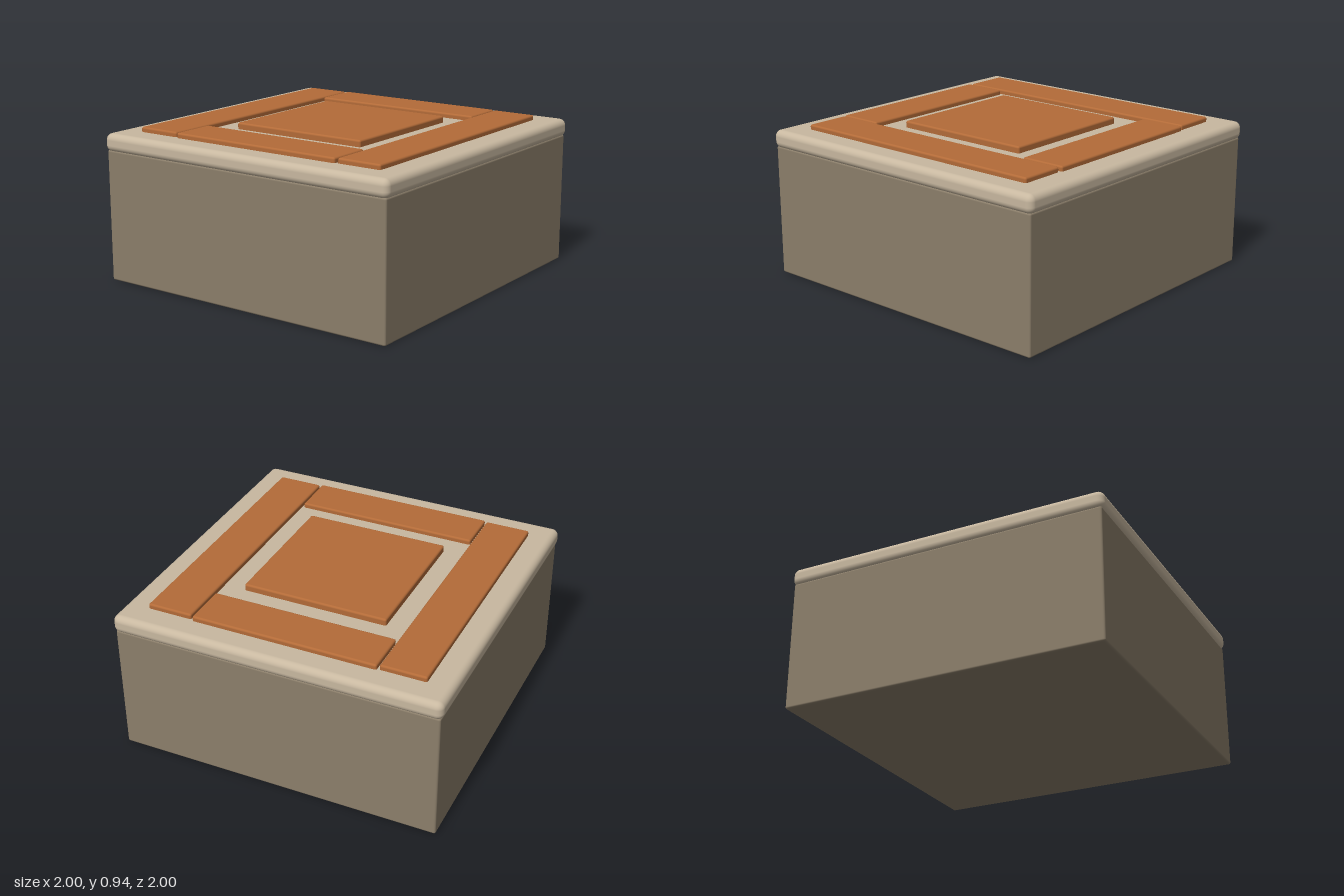
import * as THREE from 'three';
import { RoundedBoxGeometry } from 'three/addons/geometries/RoundedBoxGeometry.js';

const material = (color) => new THREE.MeshStandardMaterial({ color });

export function createModel() {
  const model = new THREE.Group();
  const stone = material(0x8b7e6a);
  const paleStone = material(0xc8b8a0);
  const clay = material(0xb36b38);

  // Rounded block given by its full size, bottom and top heights, and centre
  function block(name, mat, width, depth, bottom, top, radius, x = 0, z = 0) {
    const height = top - bottom;
    const mesh = new THREE.Mesh(new RoundedBoxGeometry(width, height, depth, 4, radius), mat);
    mesh.name = name;
    mesh.position.set(x, bottom + height / 2, z);
    model.add(mesh);
  }

  // Body and the slightly overhanging slab on top
  block('base', stone, 1.975, 1.975, 0, 0.8, 0.012);
  block('topSlab', paleStone, 2, 2, 0.79, 0.9, 0.04);

  // Raised border panels: long ones front and back, short ones left and right
  for (const side of [-1, 1]) {
    const end = side > 0 ? 'front' : 'back';
    const flank = side > 0 ? 'left' : 'right';
    block(end + 'Panel', clay, 1.68, 0.275, 0.88, 0.93, 0.012, 0, side * 0.7125);
    block(flank + 'Panel', clay, 0.275, 1.125, 0.88, 0.93, 0.012, side * 0.7125, 0);
  }

  // Central square panel
  block('centrePanel', clay, 0.89, 0.89, 0.88, 0.94, 0.012);

  return model;
}
